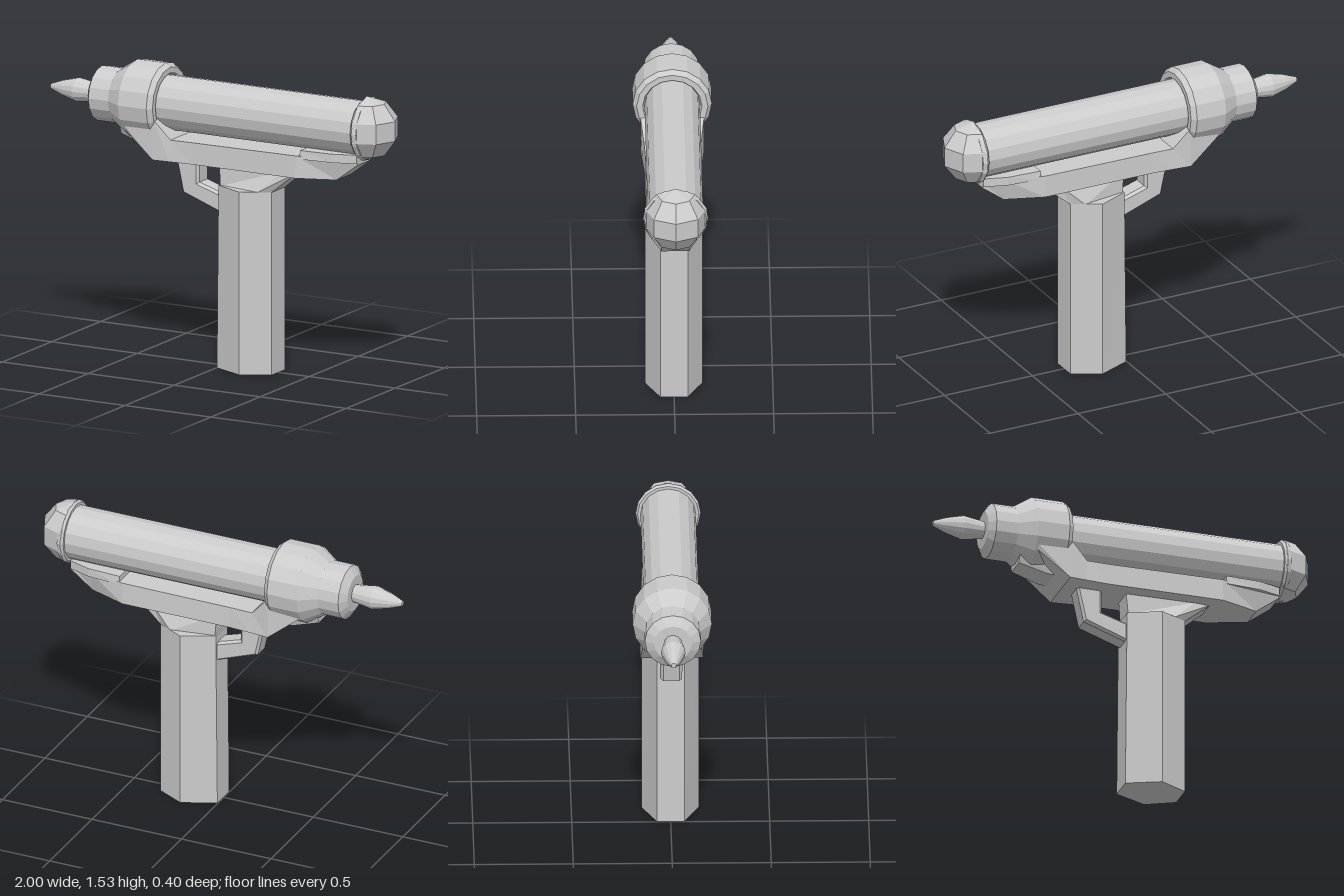
import * as THREE from 'three';

const material = new THREE.MeshStandardMaterial({ color: 0xcccccc, flatShading: true });
const AXIS_Y = 1.33;

function add(group, name, geometry) {
  const mesh = new THREE.Mesh(geometry, material);
  mesh.name = name;
  group.add(mesh);
}

// Joins convex rings (counterclockwise about the sweep direction) and caps both ends.
function loft(rings) {
  const pos = [];
  const tri = (...pts) => pts.forEach((p) => pos.push(...p));
  const n = rings[0].length;
  for (let i = 0; i < rings.length - 1; i++) {
    for (let j = 0; j < n; j++) {
      const k = (j + 1) % n;
      const [a, b, c, d] = [rings[i][j], rings[i][k], rings[i + 1][k], rings[i + 1][j]];
      tri(a, b, c);
      tri(a, c, d);
    }
  }
  const first = rings[0], last = rings[rings.length - 1];
  for (let j = 1; j < n - 1; j++) {
    tri(first[0], first[j + 1], first[j]);
    tri(last[0], last[j], last[j + 1]);
  }
  const geometry = new THREE.BufferGeometry();
  geometry.setAttribute('position', new THREE.Float32BufferAttribute(pos, 3));
  geometry.computeVertexNormals();
  return geometry;
}

// Trapezoid section at x: bottom, top, half width below, half width above.
const trapezoid = ([x, yb, yt, wb, wt]) => [[x, yb, -wb], [x, yt, -wt], [x, yt, wt], [x, yb, wb]];

// Turned part along x from [x, radius] points.
function turned(points, sides) {
  const geometry = new THREE.LatheGeometry(points.map(([x, r]) => new THREE.Vector2(r, x)), sides);
  geometry.rotateZ(-Math.PI / 2);
  geometry.translate(0, AXIS_Y, 0);
  return geometry;
}

export function createModel() {
  const group = new THREE.Group();
  group.name = 'toyBlaster';

  // Round parts on the barrel axis
  add(group, 'barrel', turned([[-0.4, 0], [-0.4, 0.14], [0.84, 0.14], [0.84, 0]], 16));
  add(group, 'frontCollar', turned([
    [-0.735, 0], [-0.735, 0.095], [-0.705, 0.142], [-0.59, 0.142], [-0.5, 0.2],
    [-0.335, 0.2], [-0.31, 0.18], [-0.31, 0.15], [-0.34, 0.135]], 16));
  add(group, 'nozzle', turned([
    [-1, 0], [-1, 0.013], [-0.93, 0.04], [-0.845, 0.062], [-0.73, 0.045], [-0.72, 0]], 14));

  // Rear cap: a rim and a coarse half ball with upright poles
  add(group, 'rearCapRim', turned([
    [0.825, 0], [0.825, 0.155], [0.838, 0.165], [0.86, 0.157], [0.86, 0]], 16));
  const dome = new THREE.SphereGeometry(1, 4, 5, Math.PI / 2, Math.PI);
  dome.scale(0.173, 0.165, 0.166);
  dome.translate(0.835, AXIS_Y + 0.003, 0);
  add(group, 'rearCapDome', dome);

  // Frame below the barrel: cradle at the collar, tapering to a narrow tail
  add(group, 'frame', loft([
    [-0.52, 1.22, 1.25, 0.145, 0.16],
    [-0.32, 1.06, 1.275, 0.16, 0.162],
    [-0.225, 1.06, 1.172, 0.152, 0.145],
    [-0.1, 1.06, 1.172, 0.143, 0.14],
    [0.5, 1.06, 1.176, 0.143, 0.14],
    [0.7, 1.06, 1.178, 0.07, 0.1],
    [0.82, 1.15, 1.18, 0.07, 0.07],
  ].map(trapezoid)));
  add(group, 'collarKeel', loft([
    [-0.56, 1.15, 1.25, 0.06, 0.1],
    [-0.42, 1.108, 1.25, 0.07, 0.12],
    [-0.34, 1.1, 1.25, 0.07, 0.12],
  ].map(trapezoid)));
  add(group, 'rearRail', loft([
    [0.52, 1.16, 1.205, 0.135, 0.13],
    [0.7, 1.16, 1.205, 0.12, 0.12],
    [0.82, 1.16, 1.205, 0.08, 0.08],
  ].map(trapezoid)));

  // Six sided grip with a slightly leaning front
  const gripRing = (y, front) => [[front, y, -0.07], [front, y, 0.07], [0.175, y, 0.145],
    [0.32, y, 0.07], [0.32, y, -0.07], [0.175, y, -0.145]];
  add(group, 'grip', loft([gripRing(0, 0.003), gripRing(0.95, 0.012)]));

  // Neck narrows sideways and flares backwards into the frame
  const neckRing = (y, [x0, w0], [x1, w1], [x2, w2]) => [[x0, y, -w0], [x0, y, w0], [x1, y, w1],
    [x2, y, w2], [x2, y, -w2], [x1, y, -w1]];
  add(group, 'gripNeck', loft([
    neckRing(0.945, [0.02, 0.065], [0.25, 0.105], [0.315, 0.07]),
    neckRing(1.065, [0.01, 0.06], [0.38, 0.065], [0.46, 0.055]),
  ]));

  // Trigger guard: front leg and lower arm around an opening
  const outline = [[-0.25, 1.07], [-0.21, 0.88], [0.03, 0.795], [0.03, 0.9], [-0.115, 0.945], [-0.115, 1.07]];
  const guard = new THREE.ExtrudeGeometry(new THREE.Shape(outline.map(([x, y]) => new THREE.Vector2(x, y))), {
    depth: 0.08, bevelEnabled: true, bevelThickness: 0.015, bevelSize: 0.012, bevelOffset: -0.012, bevelSegments: 1,
  });
  guard.translate(0, 0, -0.04);
  add(group, 'triggerGuard', guard);

  return group;
}
